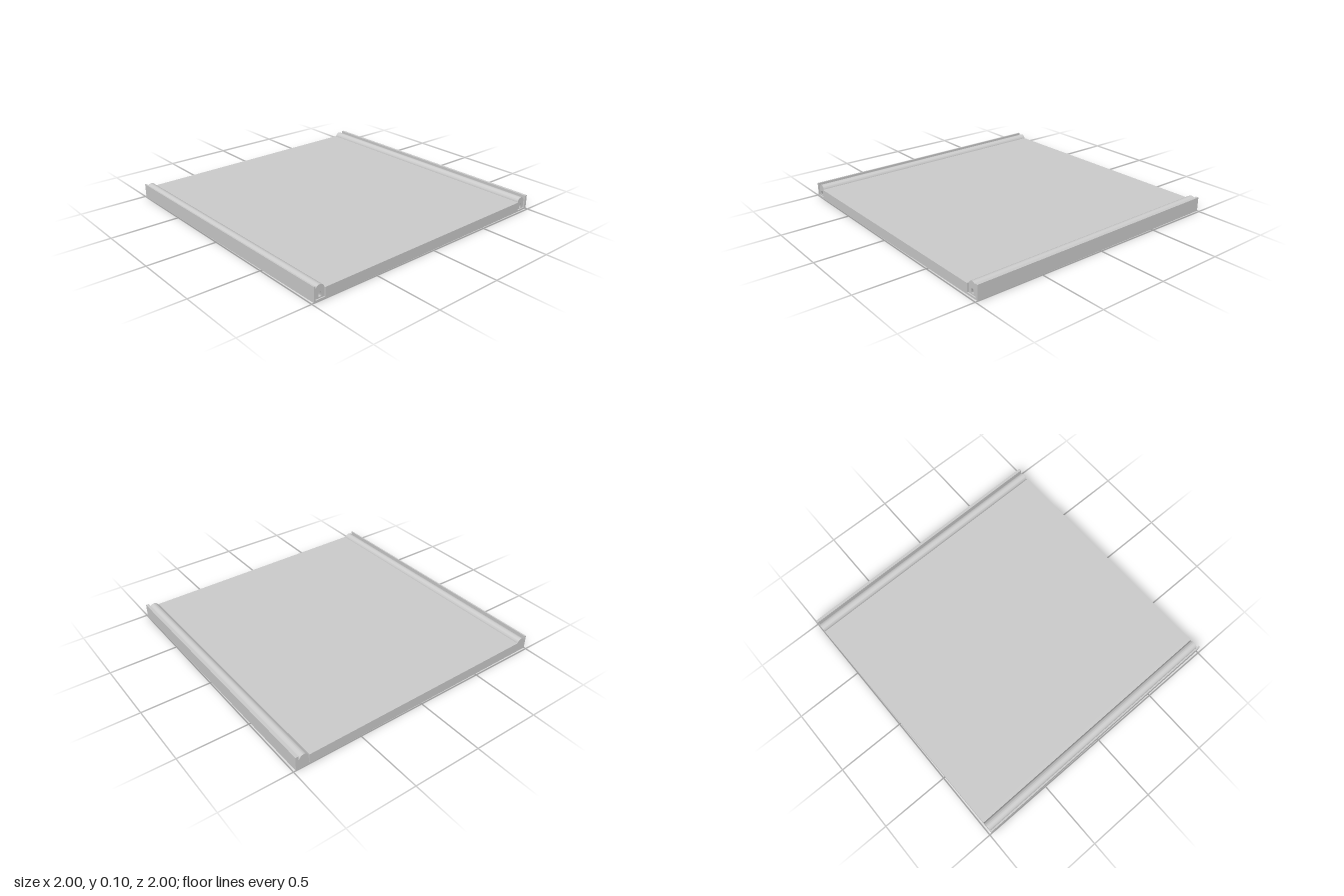
import * as THREE from 'three';
import { toCreasedNormals } from 'three/addons/utils/BufferGeometryUtils.js';

const HALF = 0.9915;   // half width of the square panel
const DECK = 0.073;    // deck height
const WALL = 0.104;    // outer wall height
const FLOOR = 0.012;   // thickness of the tray under the rails

export function createModel() {
  const model = new THREE.Group();
  const grey = new THREE.MeshStandardMaterial({ color: 0xcccccc });
  grey.name = 'grey';

  const add = (geometry, name) => {
    const mesh = new THREE.Mesh(geometry, grey);
    mesh.name = name;
    model.add(mesh);
  };
  // box given by its ranges
  const box = (name, x0, x1, y0, y1, z0, z1) => {
    const g = new THREE.BoxGeometry(x1 - x0, y1 - y0, z1 - z0);
    g.translate((x0 + x1) / 2, (y0 + y1) / 2, (z0 + z1) / 2);
    add(g, name);
  };
  // profile drawn in (-z, y), swept along x
  const sweep = (name, shape, x0, x1) => {
    const g = new THREE.ExtrudeGeometry(shape, { depth: x1 - x0, bevelEnabled: false, curveSegments: 16 });
    g.rotateY(Math.PI / 2);
    g.translate(x0, 0, 0);
    add(toCreasedNormals(g, 0.6), name);
  };
  // round-topped upright profile
  const arch = (path, z, r, bottom, top) => {
    path.moveTo(-z - r, bottom);
    path.lineTo(-z + r, bottom);
    path.lineTo(-z + r, top - r);
    path.absarc(-z, top - r, r, 0, Math.PI, false);
    path.lineTo(-z - r, bottom);
    return path;
  };

  box('deck', -HALF, HALF, 0, DECK, -0.893, 0.887);

  const rails = [
    { name: 'front', side: 1, z: 0.943, r: 0.034, inner: 0.887, wall: 0.981 },
    { name: 'back', side: -1, z: -0.933, r: 0.034, inner: -0.893, wall: -0.971 },
  ];
  for (const { name, side, z, r, inner, wall } of rails) {
    const edge = side * HALF;
    const span = (a, b) => [Math.min(a, b), Math.max(a, b)];

    // tray floor and upright outer wall
    box(name + 'TrayFloor', -HALF, HALF, 0, FLOOR, ...span(inner, edge));
    box(name + 'Wall', -HALF, HALF, FLOOR, WALL, ...span(wall, edge));

    // ledge between deck and rail
    if (side > 0) box(name + 'Ledge', -HALF, HALF, FLOOR, DECK, inner, z - r);

    // hollow rail, open at the +x end
    const profile = arch(new THREE.Shape(), z, r, FLOOR, 0.1);
    profile.holes.push(arch(new THREE.Path(), z, 0.011, 0.02, 0.052));
    sweep(name + 'Rail', profile, -0.983, 0.983);

    // solid cap closing the -x end
    sweep(name + 'EndCap', arch(new THREE.Shape(), z, r, FLOOR, 0.1), -HALF, -0.983);
    box(name + 'EndFiller', -HALF, -0.983, FLOOR, DECK, ...span(z, wall));
  }

  // the whole panel sits very slightly turned
  model.rotation.y = 0.0085;
  return model;
}
